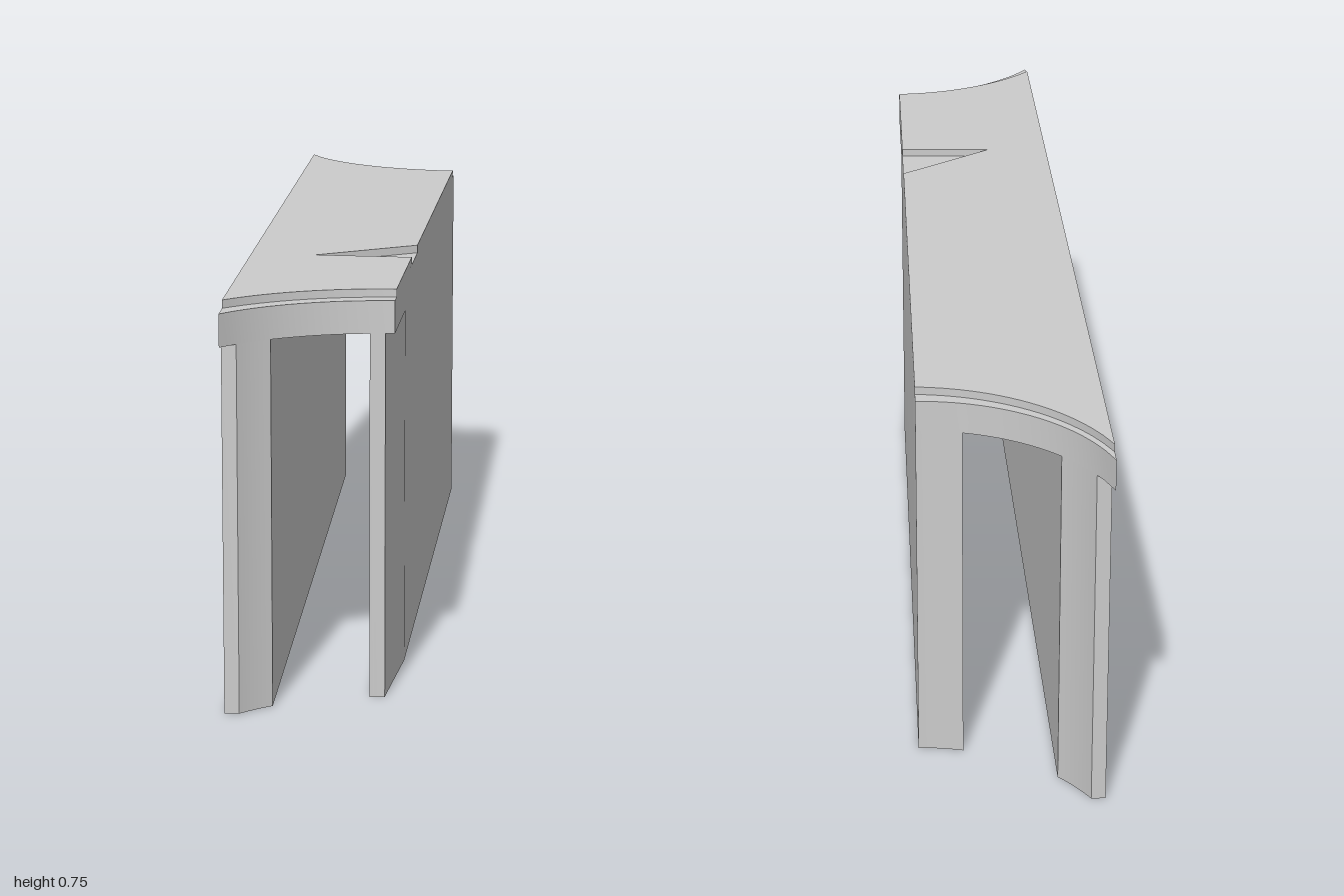
import * as THREE from 'three';
import { toCreasedNormals } from 'three/addons/utils/BufferGeometryUtils.js';

const LEFT = -0.17, INNER_L = -0.087, INNER_R = 0.085, STEP = -0.143;
const LEG_TOP = 0.68, SLAB_TOP = 0.74, TOP = 0.755;

// z of the concave end curves at a given x
const hollow = (cx, cz, r, side) => x => cz + side * Math.sqrt(Math.max(0, r * r - (x - cx) ** 2));
const frontEnd = hollow(0.13, 1.225, 0.375, -1);
const frontInset = hollow(0.13, 1.225, 0.41, -1);
const backEnd = hollow(0.19, -1.123, 0.38, 1);
const backInset = hollow(0.21, -1.123, 0.41, 1);

// x of the slightly slanted side wall at a given z
const slant = z => 0.17 - 0.025 * (z + 0.745);

// Points [x, z] along an end curve
function curve(f, x0, x1, n = 20) {
  return Array.from({ length: n + 1 }, (_, i) => {
    const x = x0 + (x1 - x0) * i / n;
    return [x, f(x)];
  });
}

export function createModel() {
  const group = new THREE.Group();
  const material = new THREE.MeshStandardMaterial({ color: 0xcccccc });

  // Extrudes a plan outline of [x, z] points between two heights
  function prism(name, plan, y0, y1) {
    const shape = new THREE.Shape(plan.map(([x, z]) => new THREE.Vector2(x, -z)));
    const geometry = new THREE.ExtrudeGeometry(shape, { depth: y1 - y0, bevelEnabled: false });
    geometry.rotateX(-Math.PI / 2).translate(0, y0, 0);
    const mesh = new THREE.Mesh(toCreasedNormals(geometry, 0.3), material);
    mesh.name = name;
    group.add(mesh);
  }

  // Left-hand wall: straight side, stepped outer corners, hollow ends
  prism('straightWall', [
    [LEFT, 0.968], ...curve(frontEnd, STEP, INNER_L, 8),
    ...curve(backEnd, INNER_L, STEP, 8), [LEFT, backEnd(STEP)],
  ], 0, LEG_TOP);

  // Right-hand wall: slanted side that tapers inward near the front
  prism('slantedWall', [
    ...curve(frontEnd, INNER_R, 0.113, 4), [slant(0.62), 0.62],
    ...curve(backEnd, 0.17, INNER_R, 8),
  ], 0, LEG_TOP);

  // Slab bridging both walls
  prism('slab', [
    ...curve(frontEnd, LEFT, slant(0.85)), ...curve(backEnd, 0.17, LEFT),
  ], LEG_TOP, SLAB_TOP);

  // Thin top plate, set back at both ends, with a wedge cut into its slanted side
  prism('topPlate', [
    ...curve(frontInset, LEFT, slant(0.815)),
    [slant(0.47), 0.47], [-0.045, 0.457], [slant(0.33), 0.33],
    ...curve(backInset, slant(-0.715), LEFT),
  ], SLAB_TOP, TOP);

  return group;
}
